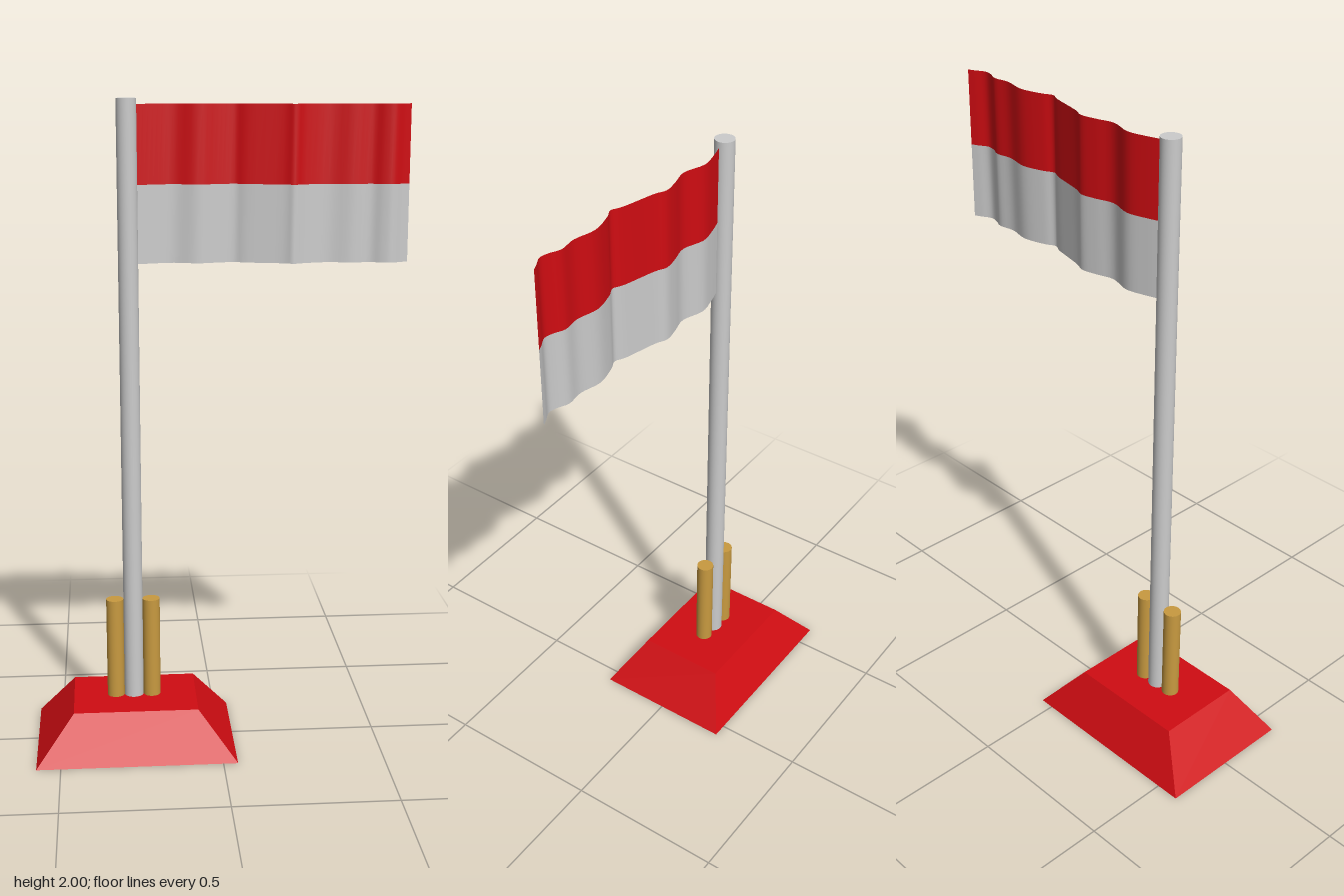
import * as THREE from 'three';

const RED = 0xd00c12, GOLD = 0xc89a40, GREY = 0xcccccc;
const POLE_X = -0.268;

function addMesh(group, name, geometry, color, side = THREE.FrontSide) {
  const mesh = new THREE.Mesh(geometry, new THREE.MeshStandardMaterial({ color, side }));
  mesh.name = name;
  group.add(mesh);
  return mesh;
}

function addRod(group, name, x, radius, bottom, top, color) {
  const geometry = new THREE.CylinderGeometry(radius, radius, top - bottom, 32);
  addMesh(group, name, geometry, color).position.set(x, (bottom + top) / 2, 0);
}

// Ripple of the cloth seen from above: x along the flag, y holds the depth
const ripple = new THREE.SplineCurve([
  [-0.24, 0], [-0.19, -0.015], [-0.13, -0.026], [-0.06, -0.006], [0, -0.02],
  [0.05, -0.028], [0.09, -0.012], [0.19, 0.012], [0.225, 0.027], [0.26, 0.012],
  [0.33, -0.004], [0.4, 0.01], [0.455, 0.004], [0.49, 0.018], [0.52, 0.023],
  [0.55, 0.008], [0.572, -0.002],
].map(([x, z]) => new THREE.Vector2(x, z)));

// One horizontal stripe of cloth following the ripple
function stripe(bottom, top) {
  const geometry = new THREE.PlaneGeometry(1, top - bottom, 64, 1);
  const p = geometry.attributes.position;
  for (let i = 0; i < p.count; i++) {
    const c = ripple.getPoint(THREE.MathUtils.clamp(p.getX(i) + 0.5, 0, 1));
    p.setXYZ(i, c.x, p.getY(i) + (bottom + top) / 2, c.y);
  }
  geometry.computeVertexNormals();
  return geometry;
}

export function createModel() {
  const model = new THREE.Group();
  model.name = 'flagStand';

  // Base: a box whose top is drawn in
  const base = new THREE.BoxGeometry(0.62, 0.145, 0.45);
  const p = base.attributes.position;
  for (let i = 0; i < p.count; i++) {
    if (p.getY(i) > 0) {
      p.setX(i, Math.sign(p.getX(i)) * 0.193);
      p.setZ(i, Math.sign(p.getZ(i)) * 0.141);
    }
  }
  base.computeVertexNormals();
  addMesh(model, 'base', base, RED).position.set(-0.265, 0.0725, 0);

  // Pole with a short support on each side
  addRod(model, 'pole', POLE_X, 0.03, 0.14, 2, GREY);
  for (const [name, side] of [['rightSupport', -1], ['leftSupport', 1]]) {
    addRod(model, name, POLE_X + side * 0.057, 0.027, 0.14, 0.465, GOLD);
  }

  // Flag: two stripes
  const flag = new THREE.Group();
  flag.name = 'flag';
  addMesh(flag, 'upperStripe', stripe(1.75, 1.983), RED, THREE.DoubleSide);
  addMesh(flag, 'lowerStripe', stripe(1.517, 1.75), GREY, THREE.DoubleSide);
  model.add(flag);

  return model;
}
